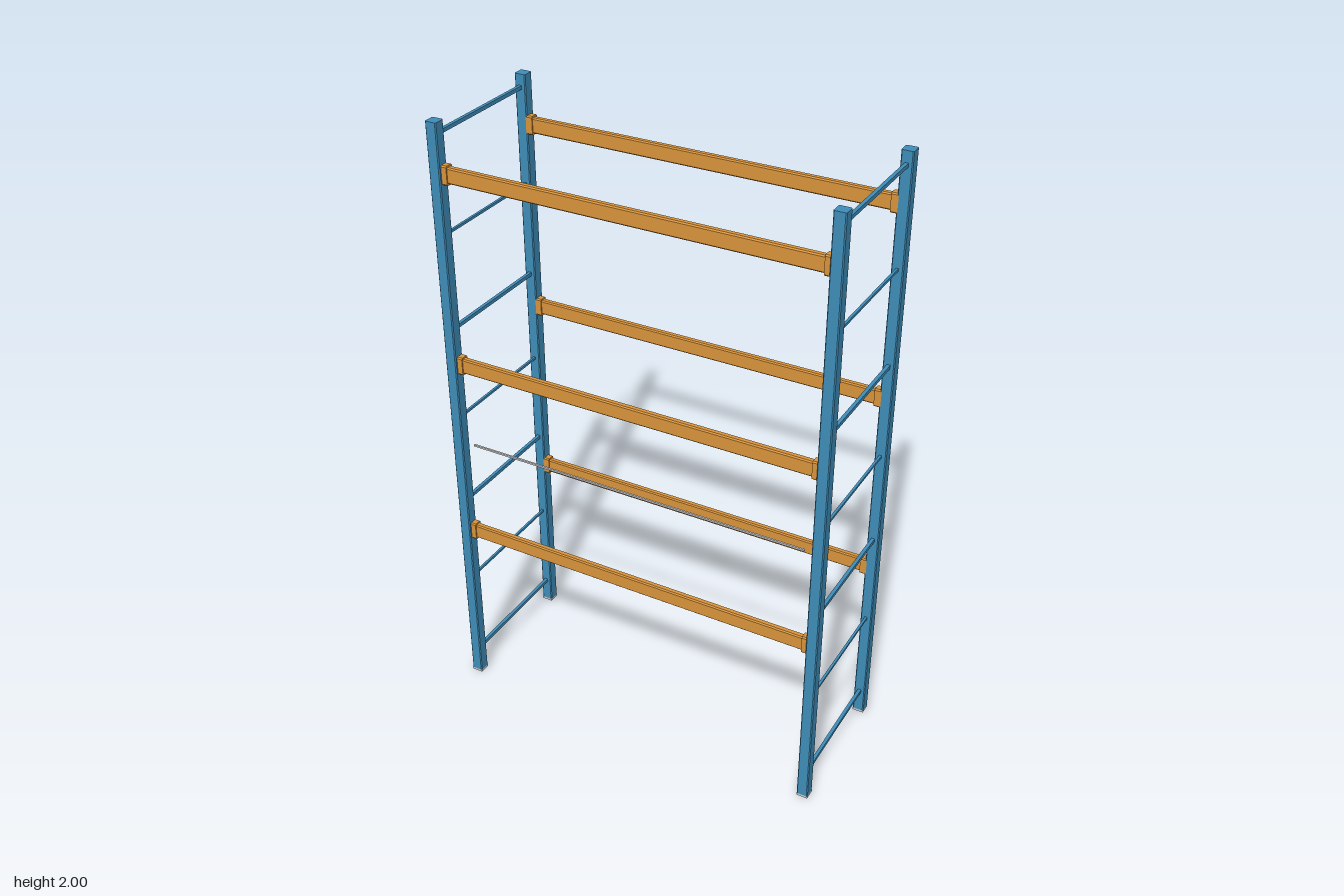
import * as THREE from 'three';

const blue = new THREE.MeshStandardMaterial({ color: 0x3f8dba, flatShading: true });
const orange = new THREE.MeshStandardMaterial({ color: 0xd9943c, flatShading: true });
const grey = new THREE.MeshStandardMaterial({ color: 0xcccccc, flatShading: true });

// Bar with chamfered long edges, centred, running along z
function chamferedBar(w, h, length, c) {
  const x = w / 2, y = h / 2;
  const shape = new THREE.Shape([
    [-x + c, -y], [x - c, -y], [x, -y + c], [x, y - c],
    [x - c, y], [-x + c, y], [-x, y - c], [-x, -y + c],
  ].map(([a, b]) => new THREE.Vector2(a, b)));
  return new THREE.ExtrudeGeometry(shape, { depth: length, bevelEnabled: false })
    .translate(0, 0, -length / 2);
}

export function createModel() {
  const model = new THREE.Group();
  const add = (name, geometry, material, x, y, z) => {
    const mesh = new THREE.Mesh(geometry, material);
    mesh.name = name;
    mesh.position.set(x, y, z);
    model.add(mesh);
    return mesh;
  };

  const postX = 0.619, postZ = 0.2245, postW = 0.037, footH = 0.008;
  const postGeo = chamferedBar(postW, postW, 2 - footH, 0.003).rotateX(-Math.PI / 2);
  const footGeo = new THREE.BoxGeometry(postW, footH, postW);
  const heavyBrace = new THREE.BoxGeometry(0.011, 0.012, 0.42);
  const lightBrace = new THREE.BoxGeometry(0.008, 0.008, 0.42);

  // Two upright frames: posts, feet and horizontal braces
  for (const sx of [-1, 1]) {
    for (const sz of [-1, 1]) {
      add('post', postGeo, blue, sx * postX, 1 + footH / 2, sz * postZ);
      add('foot', footGeo, grey, sx * postX, footH / 2, sz * postZ);
    }
    for (let i = 0; i < 7; i++) {
      add('brace', i % 2 ? lightBrace : heavyBrace, blue, sx * postX, 0.09 + i * 0.3115, 0);
    }
  }

  // Three levels of beams with a connector at each end
  const beamGeo = chamferedBar(0.021, 0.05, 1.2, 0.004).rotateY(Math.PI / 2);
  const connectorGeo = chamferedBar(0.029, 0.06, 0.022, 0.004).rotateY(Math.PI / 2);
  for (const y of [0.6, 1.22, 1.842]) {
    for (const sz of [-1, 1]) {
      add('beam', beamGeo, orange, 0, y, sz * 0.2205);
      for (const sx of [-1, 1]) add('beamConnector', connectorGeo, orange, sx * 0.594, y, sz * 0.2205);
    }
  }

  // Thin rod across the front
  add('frontRod', new THREE.BoxGeometry(1.14, 0.006, 0.006), grey, 0, 0.935, 0.222);

  return model;
}
